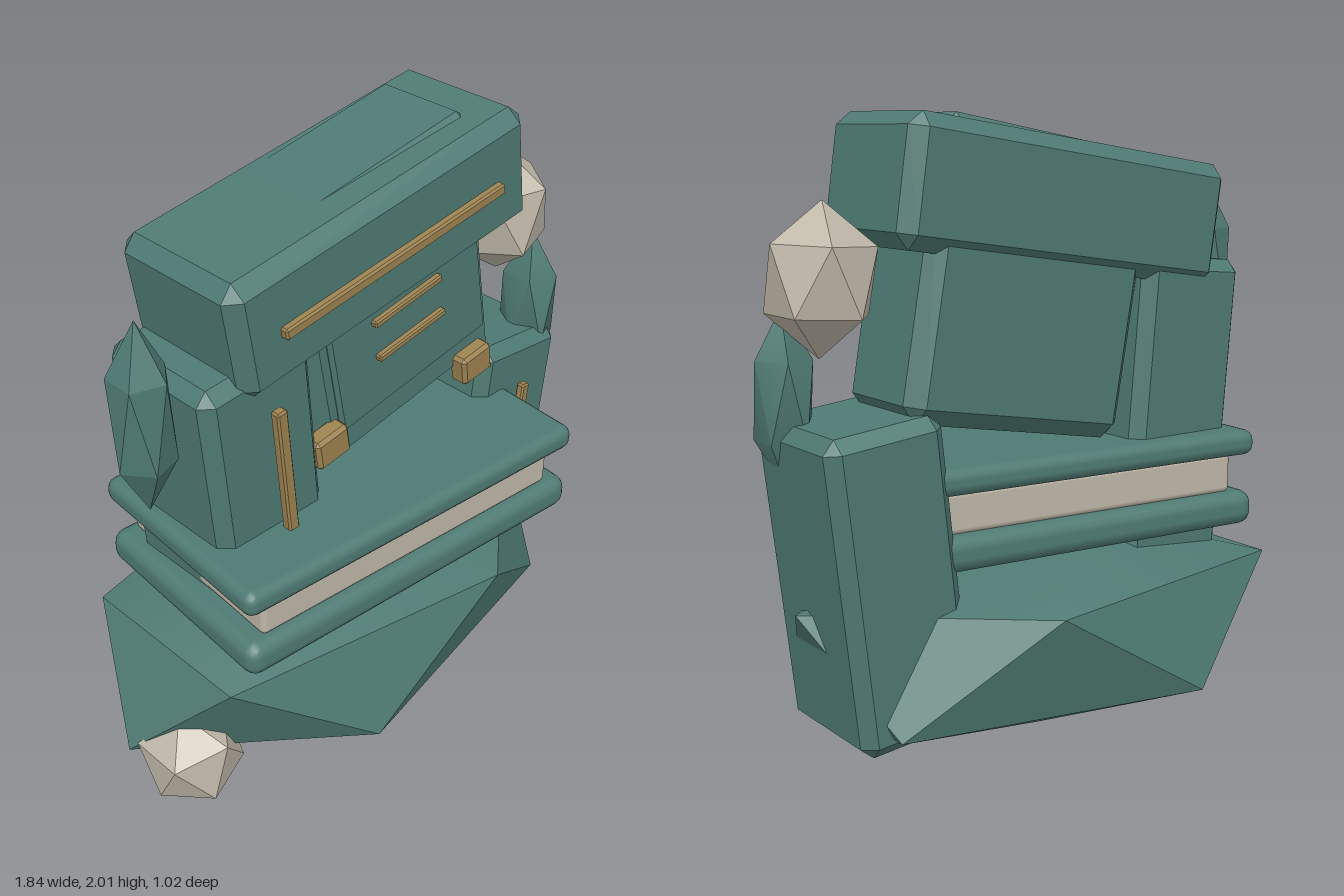
import * as THREE from 'three';
import { ConvexGeometry } from 'three/addons/geometries/ConvexGeometry.js';
import { RoundedBoxGeometry } from 'three/addons/geometries/RoundedBoxGeometry.js';
import { toCreasedNormals } from 'three/addons/utils/BufferGeometryUtils.js';

const mat = (name, color) => new THREE.MeshStandardMaterial({ name, color });

// Box with every edge cut at 45 degrees
function chamferBox(w, h, d, b) {
  const points = [];
  for (const x of [-1, 1]) for (const y of [-1, 1]) for (const z of [-1, 1])
    for (const [i, j, k] of [[0, b, b], [b, 0, b], [b, b, 0]])
      points.push(new THREE.Vector3(x * (w / 2 - i), y * (h / 2 - j), z * (d / 2 - k)));
  return new ConvexGeometry(points);
}

// Twenty-sided gem standing on a point: two poles and two staggered rings of five
function gem(rx, ry, rz) {
  const points = [new THREE.Vector3(0, ry, 0), new THREE.Vector3(0, -ry, 0)];
  for (let i = 0; i < 10; i++) {
    const a = i * Math.PI / 5;
    points.push(new THREE.Vector3(rx * Math.cos(a), (i % 2 ? -1 : 1) * ry * 0.447, rz * Math.sin(a)));
  }
  return new ConvexGeometry(points);
}

export function createModel() {
  const model = new THREE.Group();
  const green = mat('mossy green', 0x4f7a73);
  const gold = mat('dull gold', 0x9c8250);
  const stone = mat('pale stone', 0xbfb7a8);

  const add = (name, geometry, material, position, rotation = [0, 0, 0], parent = model) => {
    const mesh = new THREE.Mesh(geometry, material);
    mesh.name = name;
    mesh.position.set(...position);
    mesh.rotation.set(...rotation);
    parent.add(mesh);
    return mesh;
  };

  // Faceted boulder underneath
  add('baseBoulder', toCreasedNormals(gem(0.89, 0.38, 0.535), 0.6), green, [-0.03, 0.38, 0]);

  // Leaning pillars with gold strips
  add('rightPillar', chamferBox(0.41, 1.02, 0.45, 0.04), green, [-0.45, 1.04, -0.02], [0, 0, 0.085]);
  add('rightPillarStrip', chamferBox(0.04, 0.81, 0.035, 0.006), gold, [-0.425, 1.01, 0.24], [0, 0, 0.085]);
  add('leftPillar', chamferBox(0.39, 0.97, 0.47, 0.04), green, [0.635, 0.65, -0.035], [0, 0, -0.11]);
  add('leftPillarStrip', chamferBox(0.035, 0.49, 0.03, 0.006), gold, [0.635, 0.74, 0.23], [0, 0, -0.115]);

  // Closed book, turned slightly
  const book = new THREE.Group();
  book.name = 'book';
  book.position.set(-0.045, 0, 0.083);
  book.rotation.y = -0.079;
  model.add(book);
  add('upperCover', new RoundedBoxGeometry(1.33, 0.085, 0.75, 2, 0.035), green, [0, 0.938, 0], [0, 0, 0], book);
  add('lowerCover', new RoundedBoxGeometry(1.33, 0.115, 0.75, 2, 0.045), green, [0, 0.717, 0], [0, 0, 0], book);
  add('pages', new RoundedBoxGeometry(1.18, 0.135, 0.67, 2, 0.02), stone, [0, 0.838, 0], [0, 0, 0], book);

  // Tilted middle block with raised panel, strips and clasps
  const block = new THREE.Group();
  block.name = 'middleBlock';
  block.position.set(0.13, 1.5, -0.045);
  block.rotation.z = 0.175;
  model.add(block);
  add('blockBody', chamferBox(0.8, 0.9, 0.39, 0.05), green, [0, 0, 0], [0, 0, 0], block);
  add('blockPanel', chamferBox(0.66, 0.68, 0.05, 0.012), green, [0.01, 0.02, 0.185], [0, 0, 0], block);
  for (const y of [0, -0.13])
    add('panelStrip', chamferBox(0.295, 0.024, 0.03, 0.005), gold, [0, y, 0.215], [0, 0, 0], block);
  add('claspRight', chamferBox(0.135, 0.105, 0.07, 0.012), gold, [-0.2, 1.13, 0.165], [0, 0, 0.15]);
  add('claspLeft', chamferBox(0.135, 0.105, 0.07, 0.012), gold, [0.455, 1.135, 0.165], [0, 0, 0.15]);

  // Heavy tilted top block
  add('topBlock', chamferBox(1.2, 0.39, 0.495, 0.045), green, [0.005, 1.733, -0.012], [0, 0, 0.148]);
  add('topStrip', chamferBox(0.905, 0.037, 0.03, 0.006), gold, [0.008, 1.722, 0.245], [0, 0, 0.148]);

  // Loose stones and slender crystals
  add('upperStone', gem(0.162, 0.228, 0.165), stone, [0.745, 1.532, 0], [0, 0, 0.05]);
  add('lowerStone', gem(0.155, 0.19, 0.155), stone, [-0.765, 0.192, 0.12], [0, 0, 0.2]);
  add('floatingCrystal', gem(0.09, 0.31, 0.09), green, [-0.815, 1.48, 0.085]);
  add('perchedCrystal', toCreasedNormals(gem(0.088, 0.27, 0.098), 0.6), green, [0.83, 1.18, 0.09]);

  return model;
}
